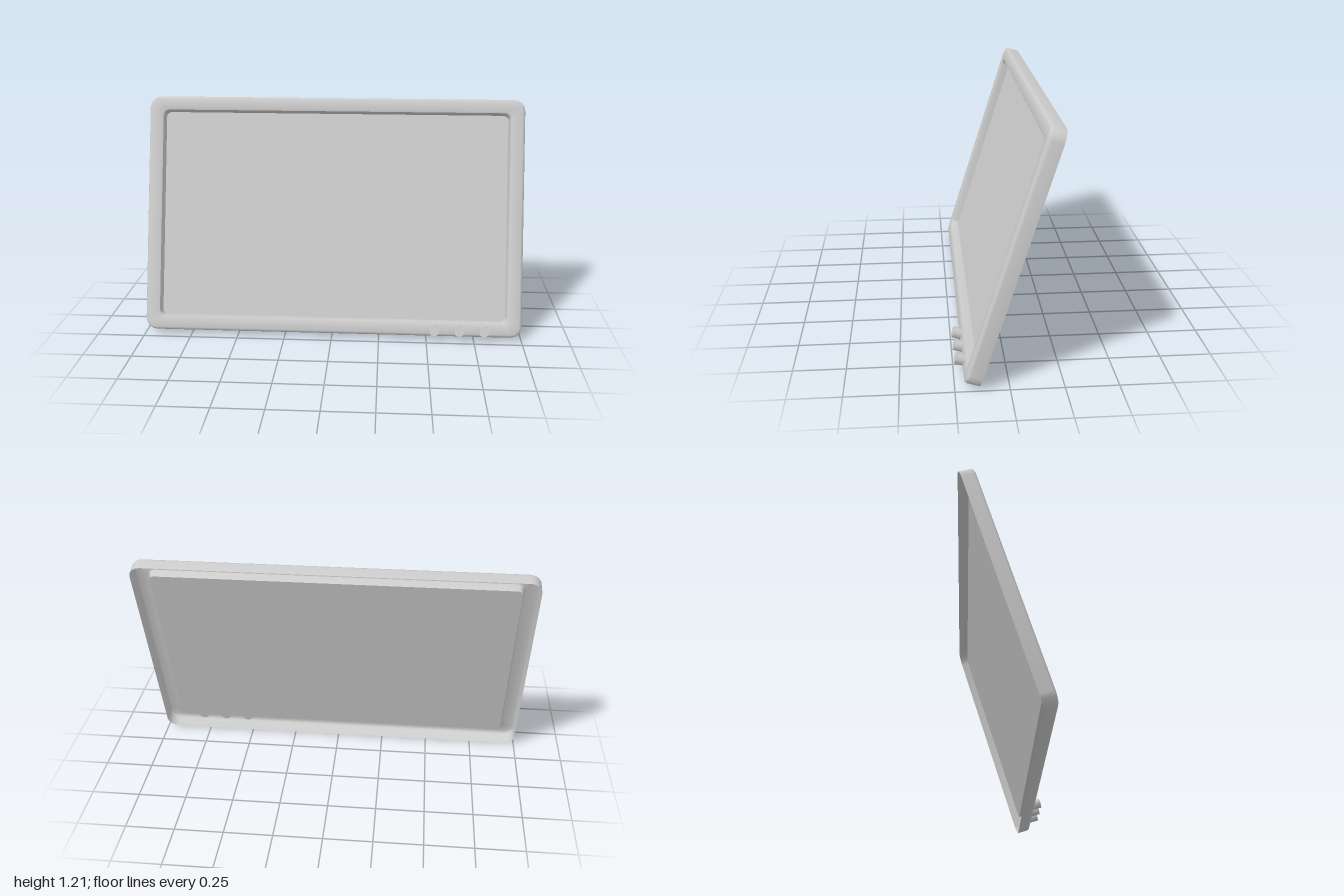
import * as THREE from 'three';
import { toCreasedNormals } from 'three/addons/utils/BufferGeometryUtils.js';

const material = new THREE.MeshStandardMaterial({ color: 0xcccccc, side: THREE.DoubleSide });

// Counter-clockwise rounded rectangle with a fixed number of points
function roundedRect(halfW, halfH, radius, segments = 4) {
  const points = [];
  const signs = [[1, 1], [-1, 1], [-1, -1], [1, -1]];
  signs.forEach(([sx, sy], corner) => {
    for (let k = 0; k <= segments; k++) {
      const a = (corner + k / segments) * Math.PI / 2;
      points.push(new THREE.Vector2(
        sx * (halfW - radius) + radius * Math.cos(a),
        sy * (halfH - radius) + radius * Math.sin(a)));
    }
  });
  return points;
}

// Skin through a series of rounded rectangles: [halfW, halfH, radius, z]
function loft(sections) {
  const positions = [], index = [];
  let n = 0;
  for (const [w, h, r, z] of sections) {
    const ring = roundedRect(w, h, r);
    n = ring.length;
    for (const p of ring) positions.push(p.x, p.y, z);
  }
  for (let j = 0; j < sections.length - 1; j++) {
    for (let i = 0; i < n; i++) {
      const a = j * n + i, b = j * n + (i + 1) % n;
      index.push(a, b, b + n, a, b + n, a + n);
    }
  }
  const geometry = new THREE.BufferGeometry();
  geometry.setAttribute('position', new THREE.Float32BufferAttribute(positions, 3));
  geometry.setIndex(index);
  return toCreasedNormals(geometry, 0.75);
}

function addMesh(parent, name, geometry) {
  const mesh = new THREE.Mesh(geometry, material);
  mesh.name = name;
  parent.add(mesh);
  return mesh;
}

export function createModel() {
  const model = new THREE.Group();
  model.name = 'tiltedDisplay';

  // Everything sits in a panel leaning backwards
  const panel = new THREE.Group();
  panel.name = 'panel';
  panel.position.set(0, 0.6025, -0.0475);
  panel.rotation.x = -0.304;
  model.add(panel);

  const W = 1, H = 0.626, depth = 0.073; // outer half sizes and thickness
  const w = 0.922, h = 0.551;            // opening half sizes
  const floorZ = 0.03;

  // Open-backed shell: outer wall, front frame and lip down to the screen
  addMesh(panel, 'bezel', loft([
    [W, H, 0.06, 0],
    [W, H, 0.06, depth - 0.015],
    [W - 0.004, H - 0.004, 0.056, depth - 0.005],
    [W - 0.014, H - 0.014, 0.046, depth],
    [w + 0.01, h + 0.01, 0.04, depth],
    [w + 0.003, h + 0.003, 0.033, depth - 0.003],
    [w, h, 0.03, depth - 0.01],
    [w - 0.006, h - 0.006, 0.026, floorZ],
  ]));

  // Recessed screen
  const outline = new THREE.Shape(roundedRect(w - 0.006, h - 0.006, 0.026));
  addMesh(panel, 'screen', new THREE.ShapeGeometry(outline)).position.z = floorZ;

  // Three knobs at the lower left of the frame, passing through it
  [0.54, 0.67, 0.8].forEach((x, i) => {
    const knob = addMesh(panel, `knob${i + 1}`, new THREE.CylinderGeometry(0.028, 0.028, 0.05, 10));
    knob.rotation.x = Math.PI / 2;
    knob.position.set(x, -0.594, 0.09);
  });

  return model;
}
